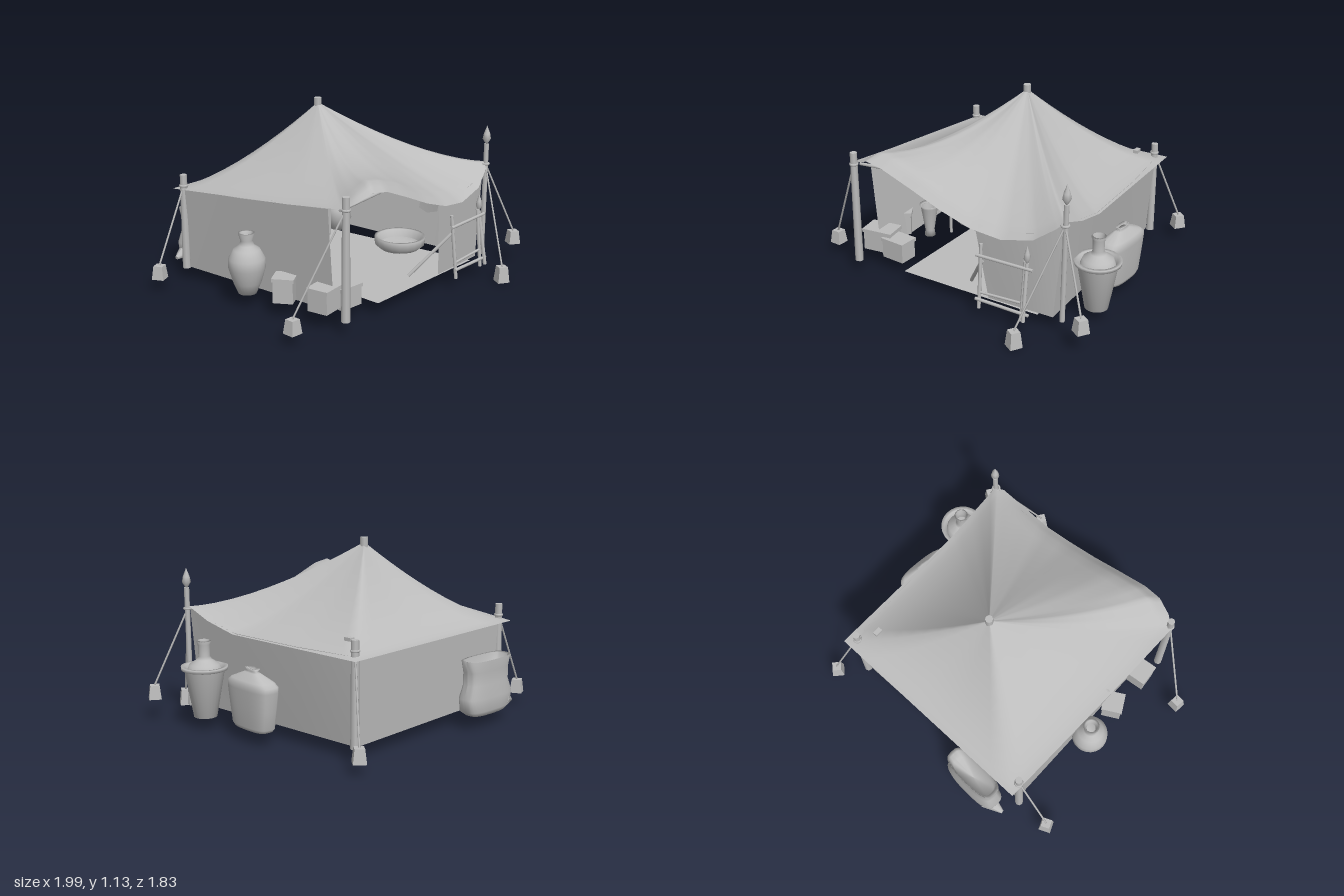
import * as THREE from 'three';

const V = (x, y, z) => new THREE.Vector3(x, y, z);
const GROUND = 0.09;

export function createModel() {
  const root = new THREE.Group();
  root.name = 'campTent';
  const grey = new THREE.MeshStandardMaterial({ color: 0xbcbcbc, side: THREE.DoubleSide });
  grey.name = 'plainGrey';

  const add = (name, geo, x = 0, y = 0, z = 0) => {
    const m = new THREE.Mesh(geo, grey);
    m.name = name;
    m.position.set(x, y, z);
    root.add(m);
    return m;
  };
  // round bar between two points
  const bar = (name, a, b, r, r2 = r, sides = 8) => {
    const d = b.clone().sub(a);
    const m = add(name, new THREE.CylinderGeometry(r2, r, d.length(), sides));
    m.position.copy(a).addScaledVector(d, 0.5);
    m.quaternion.setFromUnitVectors(V(0, 1, 0), d.normalize());
    return m;
  };
  const turned = (pts, sides) => new THREE.LatheGeometry(pts.map(p => new THREE.Vector2(p[0], p[1])), sides);
  const lathe = (name, pts, x, z, sides = 20) => add(name, turned(pts, sides), x, 0, z);
  // flattened bag: a turned shape squeezed to a boxy oval, long in z
  const bag = (name, pts, x, z, flat, turn) => {
    const g = turned(pts, 32), p = g.attributes.position;
    for (let i = 0; i < p.count; i++) {
      const a = p.getX(i), b = p.getZ(i), r = Math.hypot(a, b);
      if (r < 1e-6) continue;
      p.setX(i, Math.sign(a) * Math.abs(a / r) ** 0.55 * r * flat);
      p.setZ(i, Math.sign(b) * Math.abs(b / r) ** 0.75 * r);
    }
    g.computeVertexNormals();
    const m = add(name, g, x, 0, z);
    m.rotation.y = turn;
    return m;
  };
  // surface from equally long rows of points
  const skin = (name, rows, closed = false) => {
    const n = rows[0].length, pos = [], idx = [];
    rows.forEach(r => r.forEach(p => pos.push(p.x, p.y, p.z)));
    for (let j = 0; j < rows.length - 1; j++)
      for (let i = 0; i < (closed ? n : n - 1); i++) {
        const a = j * n + i, b = j * n + (i + 1) % n;
        idx.push(a, b, a + n, b, b + n, a + n);
      }
    const g = new THREE.BufferGeometry();
    g.setAttribute('position', new THREE.Float32BufferAttribute(pos, 3));
    g.setIndex(idx);
    g.computeVertexNormals();
    return add(name, g);
  };

  // canopy hem: x, y, z, sag, bump, curve of the slope
  const hem = [
    [-0.64, 0.60, -0.79, 0, 0, 1.5], [0.07, 0.60, -0.78, 0, 0, 1.6], [0.79, 0.60, -0.77, 0, 0, 1.5],
    [0.785, 0.60, -0.3, 0, 0, 1.55], [0.78, 0.60, 0.2, 0, 0, 1.5], [0.78, 0.65, 0.42, 0, 0, 1.55],
    [0.77, 0.715, 0.6, 0, 0, 1.55], [0.73, 0.68, 0.64, 0, 0, 1.45], [0.6, 0.59, 0.67, 0, 0.02, 1.3],
    [0.4, 0.545, 0.68, 0, 0.03, 1.2], [0.2, 0.57, 0.69, 0, 0.03, 1.15], [0, 0.635, 0.69, 0.06, 0.04, 1.15],
    [-0.2, 0.72, 0.69, 0.2, 0.06, 1.2], [-0.4, 0.80, 0.69, 0.35, 0.065, 1.3], [-0.52, 0.82, 0.68, 0.34, 0.065, 1.4],
    [-0.62, 0.78, 0.65, 0.22, 0.04, 1.5], [-0.69, 0.75, 0.6, 0.13, 0, 1.55], [-0.68, 0.70, 0.2, 0.04, 0, 1.55],
    [-0.66, 0.65, -0.3, 0, 0, 1.55]];
  const ring = [];
  hem.forEach((p, i) => {
    const q = hem[(i + 1) % hem.length];
    for (let k = 0; k < 4; k++) ring.push(p.map((v, c) => v + (q[c] - v) * k / 4));
  });
  const PEAK = V(0.07, 1.11, -0.2);
  const steps = [0, 0.04, 0.08, 0.15, 0.25, 0.35, 0.45, 0.55, 0.65, 0.75, 0.84, 0.92, 0.985];
  skin('canopy', steps.map(u => ring.map(([x, y, z, sag, bump, curve]) => V(
    x + (PEAK.x - x) * u,
    y + (PEAK.y - y) * u ** curve - sag * u * (1 - u) + bump * Math.min(1, u / 0.08) * (1 - u),
    z + (PEAK.z - z) * u))), true);

  // cloth walls
  const wall = (name, top, bottom) => skin(name, [top.map(p => V(...p)), bottom.map(p => V(...p))]);
  wall('rightWall',
    [[0.74, 0.61, -0.7], [0.765, 0.605, -0.3], [0.765, 0.605, 0.2], [0.765, 0.655, 0.42], [0.76, 0.71, 0.6]],
    [-0.7, -0.3, 0.2, 0.42, 0.6].map(z => [0.70, GROUND, z]));
  wall('backWall', [[-0.62, 0.61, -0.72], [0.74, 0.61, -0.72]], [[-0.6, GROUND, -0.7], [0.7, GROUND, -0.7]]);
  wall('leftWall', [[-0.63, 0.61, -0.72], [-0.645, 0.65, -0.2], [-0.655, 0.72, 0.47]],
    [[-0.6, GROUND, -0.7], [-0.6, GROUND, -0.2], [-0.6, GROUND, 0.47]]);
  wall('frontWall', [[0.76, 0.71, 0.6], [0.6, 0.62, 0.63], [0.4, 0.57, 0.64], [0.2, 0.59, 0.64]],
    [[0.7, GROUND, 0.6], [0.56, GROUND, 0.6], [0.42, GROUND, 0.6], [0.27, GROUND, 0.6]]);
  wall('doorFlap', [[0.2, 0.59, 0.64], [0.1, 0.62, 0.64], [0, 0.65, 0.64]],
    [[0.21, 0.52, 0.62], [0.1, 0.54, 0.62], [0, 0.6, 0.63]]);
  wall('innerCurtain', [[-0.02, 0.75, -0.2], [0.2, 0.75, -0.2]], [[-0.02, 0.2, -0.2], [0.2, 0.2, -0.2]]);
  wall('floorMat', [[-0.26, GROUND, -0.69], [0.54, GROUND, -0.62]], [[-0.34, GROUND, 0.59], [0.61, GROUND, 0.62]]);

  // poles
  bar('centrePole', V(0.07, 0.62, -0.2), V(0.07, 1.14, -0.2), 0.024);
  bar('frontLeftPole', V(-0.67, GROUND, 0.61), V(-0.67, 0.82, 0.61), 0.026, 0.022);
  bar('backLeftPole', V(-0.62, GROUND, -0.71), V(-0.62, 0.70, -0.71), 0.026, 0.022);
  bar('backRightPole', V(0.725, GROUND, -0.71), V(0.725, 0.70, -0.71), 0.026, 0.022);
  bar('innerPost', V(-0.38, GROUND, 0), V(-0.38, 0.67, 0), 0.01);
  bar('awningProp', V(-0.5, 0.80, 0.6), V(-0.38, 0.67, 0), 0.012);
  bar('innerRail', V(-0.38, 0.65, 0), V(0.07, 0.62, -0.2), 0.01);
  for (const t of [0, 0.5])
    bar('awningCrossbar', V(-0.66, 0.73 - t * 0.1, 0.56 - t), V(-0.3, 0.75 - t * 0.1, 0.56 - t), 0.01);
  for (const [x, y, z] of [[-0.67, 0.745, 0.61], [-0.62, 0.63, -0.71], [0.725, 0.64, -0.71], [0.77, 0.70, 0.61]]) {
    const t = add('poleLashing', new THREE.TorusGeometry(0.021, 0.008, 6, 12), x, y, z);
    t.rotation.x = Math.PI / 2;
  }
  add('roofPatch', new THREE.BoxGeometry(0.03, 0.02, 0.05), 0.65, 0.675, -0.6);

  // spears
  const spear = (a, b, r, len) => {
    bar('spearShaft', a, b, r);
    const head = add('spearHead', turned([[0.4 * r, 0], [1.7 * r, 0.28 * len], [1.3 * r, 0.55 * len], [0, len]], 8));
    head.position.copy(b);
  };
  spear(V(0.765, GROUND, 0.61), V(0.775, 0.83, 0.61), 0.016, 0.12);

  // guy ropes and weights: top, weight foot
  const guys = [
    [V(-0.67, 0.75, 0.61), V(-0.95, 0.075, 0.46)], [V(-0.62, 0.63, -0.71), V(-0.85, 0.085, -0.71)],
    [V(0.77, 0.70, 0.61), V(0.595, 0.01, 0.865)], [V(0.77, 0.70, 0.61), V(0.945, 0.145, 0.735)],
    [V(0.725, 0.64, -0.71), V(0.86, 0.08, -0.86)]];
  guys.forEach(([top, foot], i) => {
    const h = i === 2 ? 0.1 : 0.085;
    bar('guyRope', foot.clone().setY(foot.y + h), top, 0.006, 0.006, 6);
    const g = new THREE.CylinderGeometry(0.04, 0.054, h, 4).toNonIndexed();
    g.computeVertexNormals();
    const w = add('ropeWeight', g, foot.x, foot.y + h / 2, foot.z);
    w.rotation.y = Math.PI / 4 + Math.atan2(foot.x - top.x, foot.z - top.z) + (i < 2 ? 0.4 : 0);
  });

  // right side: jar in a tapered stand
  lathe('jarStand', [[0, 0.09], [0.07, 0.09], [0.12, 0.375], [0.138, 0.38], [0.14, 0.4], [0.118, 0.4], [0.105, 0.36]], 0.86, 0.365, 24);
  lathe('standingJar', [[0.105, 0.37], [0.09, 0.41], [0.045, 0.44], [0.034, 0.46], [0.036, 0.53], [0.044, 0.55],
    [0.036, 0.555], [0.03, 0.5]], 0.86, 0.365);
  // flattened water skin leaning on the wall
  bag('flatFlask', [[0, 0.09], [0.14, 0.09], [0.158, 0.11], [0.175, 0.22], [0.19, 0.33], [0.187, 0.36], [0.16, 0.38],
    [0.06, 0.422], [0.04, 0.43], [0.055, 0.447], [0.03, 0.435]], 0.83, -0.02, 0.42, -0.11);

  // left side: round jar
  lathe('roundJar', [[0, 0.09], [0.055, 0.09], [0.085, 0.16], [0.112, 0.25], [0.11, 0.31], [0.08, 0.365], [0.045, 0.39],
    [0.036, 0.42], [0.05, 0.465], [0.038, 0.465], [0.028, 0.42]], -0.69, -0.12, 24);

  // back: open sack with a side spout
  bag('openSack', [[0, 0.085], [0.15, 0.09], [0.195, 0.12], [0.205, 0.2], [0.175, 0.28], [0.175, 0.36],
    [0.19, 0.43], [0.17, 0.425], [0.15, 0.33], [0, 0.3]], -0.34, -0.82, 0.4, Math.PI / 2 - 0.05);
  bar('sackSpout', V(-0.47, 0.15, -0.845), V(-0.59, 0.115, -0.835), 0.06, 0.012);

  // boxes by the awning: x, z, width, height, depth, foot, turn
  for (const [x, z, w, h, d, y, a] of [
    [-0.66, 0.15, 0.12, 0.13, 0.12, 0.1, 0.5], [-0.62, 0.43, 0.19, 0.12, 0.13, 0.11, 0.1],
    [-0.48, 0.45, 0.16, 0.11, 0.12, 0.09, -0.1]]) {
    add('crate', new THREE.BoxGeometry(w, h, d), x, y + h / 2, z).rotation.y = a;
    add('crateLid', new THREE.BoxGeometry(w + 0.014, 0.022, d + 0.014), x, y + h + 0.011, z).rotation.y = a;
  }
  lathe('innerVase', [[0, 0.09], [0.035, 0.09], [0.03, 0.13], [0.055, 0.29], [0.065, 0.31], [0.05, 0.3]], -0.48, 0.1, 14);
  // vessels behind the front wall
  lathe('innerBasket', [[0, 0.1], [0.13, 0.09], [0.165, 0.12], [0.17, 0.17], [0.15, 0.17], [0.13, 0.12]], 0.53, 0.12);
  lathe('innerPot', [[0, 0.09], [0.05, 0.09], [0.09, 0.17], [0.085, 0.24], [0.05, 0.28], [0.06, 0.31]], 0.59, -0.45);

  // leaning rack at the front
  const rz = y => 0.725 - 0.1 * (y - GROUND);
  const rackBar = (name, x0, y0, x1, y1, r, dz = 0) =>
    bar(name, V(x0, y0, rz(y0) + dz), V(x1, y1, rz(y1) + dz), r);
  rackBar('rackPost', 0.28, 0.09, 0.275, 0.49, 0.011);
  rackBar('rackPost', 0.56, 0.09, 0.565, 0.46, 0.011);
  rackBar('rackRail', 0.25, 0.42, 0.62, 0.42, 0.01, 0.01);
  rackBar('rackRail', 0.26, 0.15, 0.61, 0.14, 0.01, 0.01);
  rackBar('rackRail', 0.27, 0.19, 0.58, 0.2, 0.008);
  bar('rackBrace', V(0.09, 0.11, 0.5), V(0.28, 0.38, 0.69), 0.011);
  spear(V(0.585, 0.1, 0.745), V(0.578, 0.45, 0.69), 0.012, 0.11);

  // low table and cushion inside
  add('tableTop', new THREE.BoxGeometry(0.23, 0.018, 0.22), 0.11, 0.142, -0.35);
  for (const x of [0.02, 0.2])
    for (const z of [-0.43, -0.27]) bar('tableLeg', V(x, 0.08, z), V(x, 0.14, z), 0.011);
  const cushion = add('cushion', new THREE.SphereGeometry(0.13, 16, 10), -0.27, 0.155, -0.5);
  cushion.scale.set(1, 0.5, 0.8);

  return root;
}
